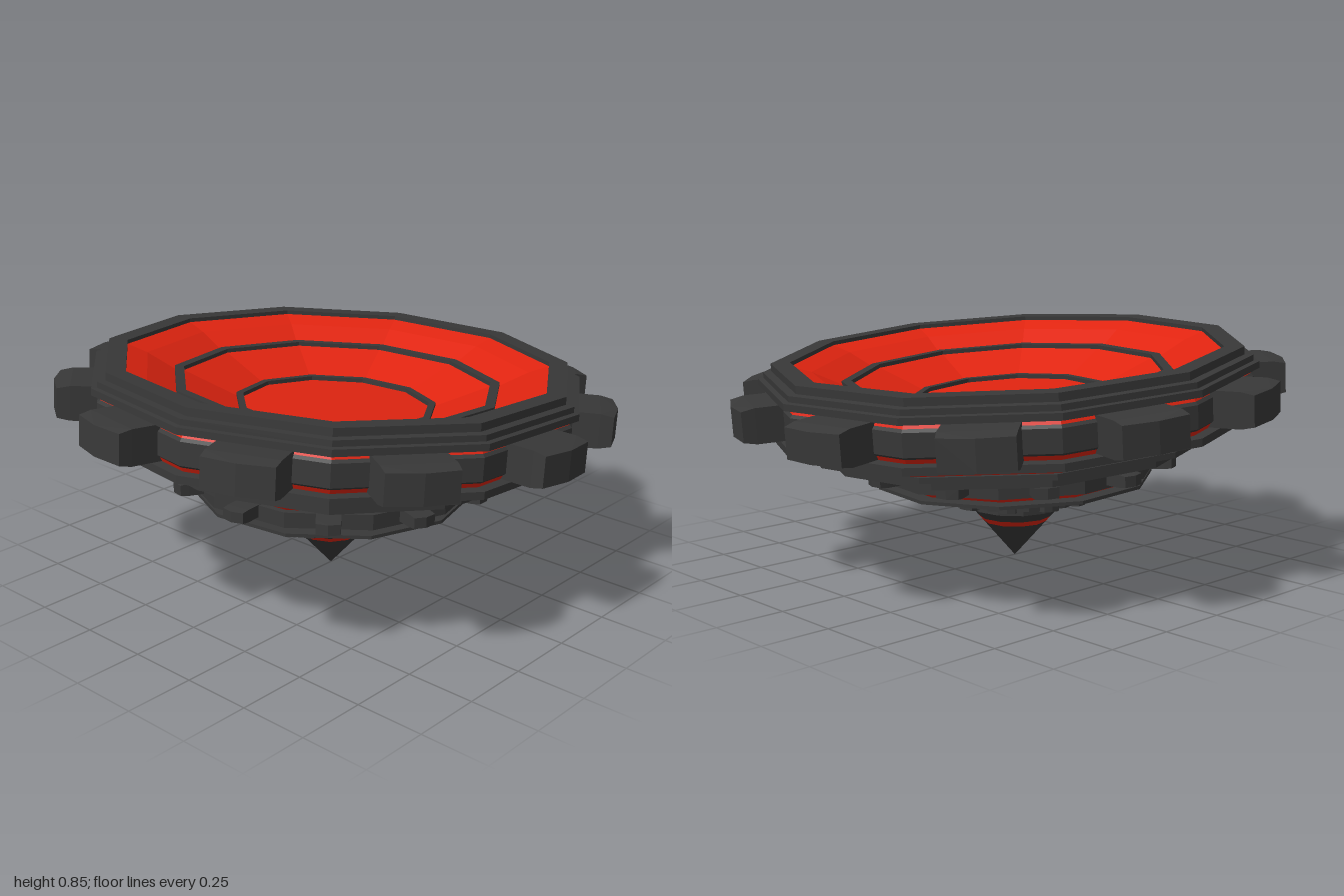
import * as THREE from 'three';
import { ConvexGeometry } from 'three/addons/geometries/ConvexGeometry.js';

const SIDES = 11;
const dark = new THREE.MeshStandardMaterial({ color: 0x383838, flatShading: true, side: THREE.DoubleSide });
const red = new THREE.MeshStandardMaterial({ color: 0xe02410, flatShading: true, side: THREE.DoubleSide });

// Eleven-sided turned band with a flat towards +z; points are [radius, height]
function band(parent, name, material, points) {
  const profile = points.map(([r, y]) => new THREE.Vector2(r, y));
  const mesh = new THREE.Mesh(new THREE.LatheGeometry(profile, SIDES, Math.PI), material);
  mesh.name = name;
  parent.add(mesh);
}

// Ring of chamfered blocks, one on each flat, with a slightly bowed outer face
function lugRing(parent, name, { inner, outer, y, width, height }) {
  const w = width / 2, h = height / 2;
  const depth = outer - inner;
  const corners = [];
  for (const s of [-1, 1]) {
    for (const x of [-w, w]) {
      corners.push(new THREE.Vector3(x, s * h, inner));
      corners.push(new THREE.Vector3(x, s * h, outer - depth * 0.3));
      corners.push(new THREE.Vector3(x * 0.98, s * h * 0.85, outer - depth * 0.08));
    }
    corners.push(new THREE.Vector3(0, s * h * 0.85, outer));
  }
  const geometry = new ConvexGeometry(corners);
  const ring = new THREE.Group();
  ring.name = name;
  for (let i = 0; i < SIDES; i++) {
    const lug = new THREE.Mesh(geometry, dark);
    lug.name = 'lug';
    lug.position.y = y;
    lug.rotation.y = (i / SIDES) * Math.PI * 2;
    ring.add(lug);
  }
  parent.add(ring);
}

// Each stage leans a little further over the tip
function stage(parent, name, tiltDegrees, z) {
  const group = new THREE.Group();
  group.name = name;
  group.position.set(-0.05, 0, z);
  group.rotation.z = -THREE.MathUtils.degToRad(tiltDegrees);
  parent.add(group);
  return group;
}

export function createModel() {
  const model = new THREE.Group();
  model.name = 'tiltedDish';

  // Pointed foot
  const foot = stage(model, 'foot', 0, 0);
  band(foot, 'tip', dark, [[0, 0], [0.118, 0.135]]);
  band(foot, 'tipStripe', red, [[0.118, 0.135], [0.135, 0.155]]);
  band(foot, 'collar', dark, [[0.135, 0.155], [0.163, 0.185], [0.163, 0.215], [0.15, 0.225]]);
  band(foot, 'lowerRing', dark, [[0, 0.224], [0.265, 0.224], [0.265, 0.252], [0, 0.252]]);
  lugRing(foot, 'lowerLugs', { inner: 0.22, outer: 0.29, y: 0.239, width: 0.06, height: 0.036 });
  band(foot, 'lowerBowl', red, [[0.2, 0.25], [0.2, 0.262], [0.36, 0.262], [0.45, 0.325]]);

  // Middle tier, turned half a step against the others
  const middle = stage(model, 'middleTier', 2, -0.005);
  const turned = new THREE.Group();
  turned.name = 'middleTurned';
  turned.rotation.y = Math.PI;
  middle.add(turned);
  band(turned, 'middlePlate', dark, [[0.38, 0.306], [0.515, 0.306], [0.515, 0.318], [0.46, 0.32]]);
  band(turned, 'middleLowerStripe', red, [[0.46, 0.318], [0.48, 0.34]]);
  band(turned, 'middleBelt', dark, [[0.48, 0.34], [0.53, 0.345], [0.53, 0.4], [0.5, 0.402]]);
  lugRing(turned, 'middleLugs', { inner: 0.47, outer: 0.605, y: 0.379, width: 0.085, height: 0.045 });
  band(turned, 'middleUpperBowl', red, [[0.48, 0.402], [0.51, 0.402], [0.53, 0.425], [0.5, 0.427]]);
  band(turned, 'middleUpperPlate', dark, [[0.48, 0.427], [0.5, 0.427], [0.5, 0.44], [0.48, 0.44]]);
  band(turned, 'middleTopStripe', red, [[0.48, 0.44], [0.52, 0.445], [0.52, 0.462], [0.35, 0.465]]);

  // Great dish: stepped underside, outer belt and rim
  const dish = stage(model, 'dish', 4.3, -0.017);
  band(dish, 'undersidePlate', dark, [[0, 0.445], [0.7, 0.445], [0.7, 0.48], [0.66, 0.482]]);
  band(dish, 'innerUndersideStripe', red, [[0.66, 0.482], [0.73, 0.492]]);
  band(dish, 'undersideStep', dark, [[0.73, 0.488], [0.785, 0.49], [0.785, 0.51], [0.76, 0.515]]);
  band(dish, 'outerUndersideStripe', red, [[0.76, 0.512], [0.83, 0.525], [0.865, 0.548]]);
  band(dish, 'beltBase', dark, [[0.865, 0.545], [0.9, 0.545], [0.9, 0.572], [0.865, 0.576]]);
  band(dish, 'lowerBeltStripe', red, [[0.865, 0.576], [0.875, 0.592]]);
  band(dish, 'belt', dark, [[0.875, 0.592], [0.885, 0.6], [0.885, 0.68], [0.875, 0.69]]);
  band(dish, 'upperBeltStripe', red, [[0.875, 0.69], [0.865, 0.71]]);
  band(dish, 'rim', dark, [[0.865, 0.708], [0.905, 0.708], [0.905, 0.732], [0.885, 0.734],
    [0.885, 0.755], [0.855, 0.757], [0.855, 0.785], [0.785, 0.785], [0.785, 0.77]]);
  lugRing(dish, 'dishLugs', { inner: 0.8, outer: 1.008, y: 0.64, width: 0.25, height: 0.125 });

  // Inside of the dish, stepping down to the floor
  band(dish, 'upperBowl', red, [[0.785, 0.77], [0.71, 0.745], [0.6, 0.69]]);
  band(dish, 'outerBowlRing', dark, [[0.605, 0.69], [0.605, 0.705], [0.57, 0.705], [0.57, 0.685]]);
  band(dish, 'lowerBowl', red, [[0.57, 0.69], [0.365, 0.61]]);
  band(dish, 'innerBowlRing', dark, [[0.37, 0.61], [0.37, 0.625], [0.345, 0.625], [0.345, 0.605]]);
  band(dish, 'bowlFloor', red, [[0.35, 0.61], [0, 0.61]]);

  return model;
}
